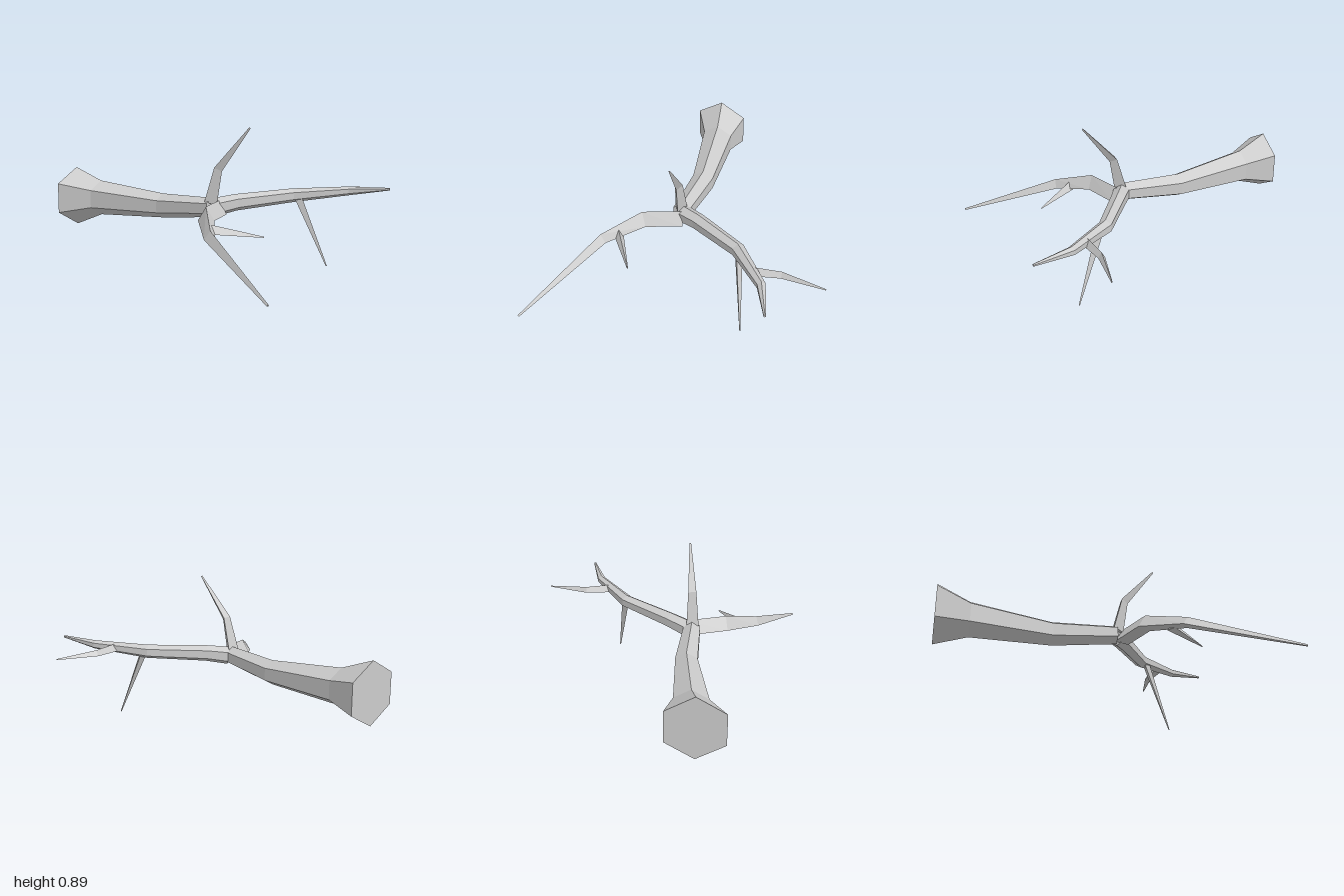
import * as THREE from 'three';

const material = new THREE.MeshStandardMaterial({ color: 0xcccccc, flatShading: true });

// Tapered limb: rings of `sides` corners around stations [x, y, z, radius], capped at both ends.
// `up` points to the first corner; `axis` forces all rings to one orientation.
function limb(name, sides, stations, { up = [0, 1, 0], axis = null } = {}) {
  const centres = stations.map(([x, y, z]) => new THREE.Vector3(x, y, z));
  const last = centres.length - 1;
  const positions = [];
  const index = [];
  centres.forEach((c, i) => {
    const tangent = axis ? new THREE.Vector3(...axis) : new THREE.Vector3();
    if (!axis) {
      if (i > 0) tangent.add(c.clone().sub(centres[i - 1]).normalize());
      if (i < last) tangent.add(centres[i + 1].clone().sub(c).normalize());
      tangent.normalize();
    }
    const side = new THREE.Vector3(...up).cross(tangent).normalize();
    const top = tangent.clone().cross(side);
    for (let k = 0; k < sides; k++) {
      const a = (k / sides) * Math.PI * 2;
      const p = c.clone()
        .addScaledVector(top, Math.cos(a) * stations[i][3])
        .addScaledVector(side, -Math.sin(a) * stations[i][3]);
      positions.push(p.x, p.y, p.z);
    }
  });
  // Walls; corners run anticlockwise seen against the tangent
  for (let i = 0; i < last; i++) {
    for (let k = 0; k < sides; k++) {
      const a = i * sides + k;
      const b = i * sides + (k + 1) % sides;
      index.push(a, b, b + sides, a, b + sides, a + sides);
    }
  }
  // End caps
  const e = last * sides;
  for (let k = 1; k < sides - 1; k++) index.push(0, k + 1, k, e, e + k, e + k + 1);

  const indexed = new THREE.BufferGeometry();
  indexed.setAttribute('position', new THREE.Float32BufferAttribute(positions, 3));
  indexed.setIndex(index);
  const geometry = indexed.toNonIndexed();
  geometry.computeVertexNormals();
  const mesh = new THREE.Mesh(geometry, material);
  mesh.name = name;
  return mesh;
}

export function createModel() {
  const group = new THREE.Group();
  group.name = 'branch';
  group.add(
    // Main stem, flared at the cut end
    limb('stem', 6, [
      [-0.255, 0.385, -1, 0.195],
      [-0.22, 0.385, -0.8, 0.115],
      [-0.157, 0.372, -0.3, 0.078],
      [-0.163, 0.4, 0.1, 0.06],
    ], { axis: [0, 0, 1] }),

    // The two forks
    limb('leftFork', 6, [
      [-0.145, 0.4, 0.105, 0.058],
      [-0.02, 0.422, 0.178, 0.052],
      [0.3, 0.447, 0.385, 0.044],
      [0.52, 0.475, 0.665, 0.028],
      [0.607, 0.497, 0.905, 0.008],
    ]),
    limb('rightFork', 3, [
      [-0.14, 0.389, 0.14, 0.056],
      [-0.37, 0.389, 0.222, 0.056],
      [-0.573, 0.322, 0.41, 0.037],
      [-0.865, 0.107, 0.995, 0.007],
    ]),

    // Side twigs
    limb('upperTwig', 3, [
      [-0.168, 0.43, 0.1, 0.045],
      [-0.16, 0.64, 0.15, 0.03],
      [-0.128, 0.893, 0.358, 0.006],
    ], { up: [0, 0, 1] }),
    limb('lowerTwig', 3, [
      [0.313, 0.43, 0.425, 0.026],
      [0.385, 0.003, 0.593, 0.004],
    ], { up: [0, 0, 1] }),
    limb('leftTwig', 3, [
      [0.43, 0.46, 0.55, 0.03],
      [0.6, 0.455, 0.52, 0.023],
      [0.862, 0.455, 0.56, 0.004],
    ]),
    limb('rightTwig', 3, [
      [-0.485, 0.335, 0.35, 0.033],
      [-0.322, 0.302, 0.596, 0.004],
    ]),
  );
  return group;
}
